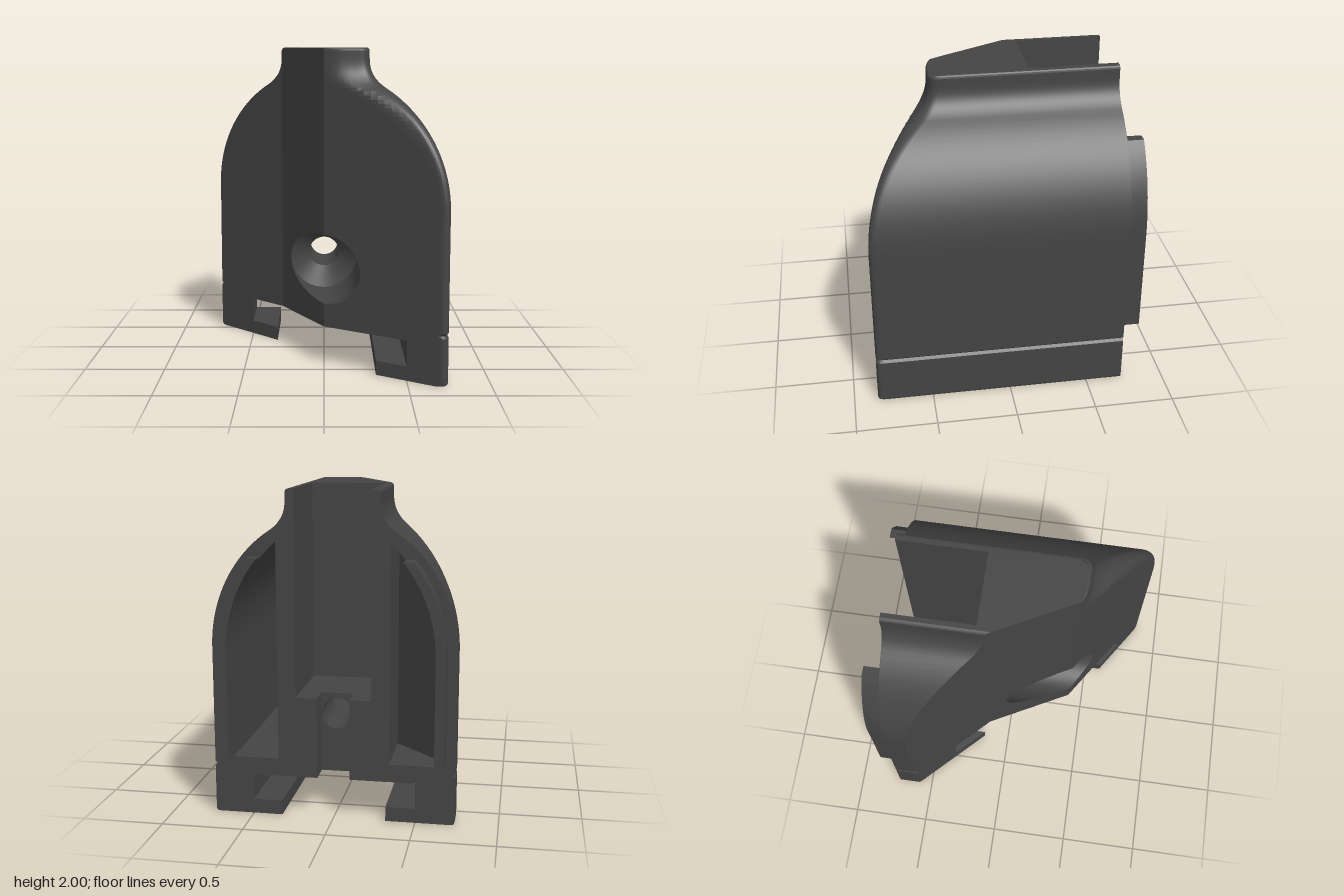
import * as THREE from 'three';
import { toCreasedNormals } from 'three/addons/utils/BufferGeometryUtils.js';

const BACK = -0.73, HOLE_Y = 0.62, SINK = 0.22, BORE = 0.1;
const clamp = THREE.MathUtils.clamp;
const span = (a, b, n) => Array.from({ length: n + 1 }, (_, i) => a + (b - a) * i / n);

// half width of the bell-shaped outline at height y, with groove and rounded ends
function halfWidth(y) {
  let w = 0.74;
  if (y > 1.76) w = 0.28 + 0.09 * Math.pow(clamp((1.96 - y) / 0.2, 0, 1), 3);
  else if (y > 1.05) w = 0.74 * Math.sqrt(1 - ((y - 1.05) / 0.82) ** 2);
  w -= Math.max(0, 0.015 - Math.abs(y - 0.31));
  const d = Math.max(0, 0.02 - Math.min(y, 2 - y));
  return w - 0.02 + Math.sqrt(Math.max(0, 0.0004 - d * d));
}

// depth of the slanted, faceted front
function frontZ(x, y) {
  const w = halfWidth(y);
  if (x < -0.28) return -0.13 + (x + 0.28);
  if (x < 0) return 0.4 + 1.9 * x;
  const plane = 0.4 + 0.65 * x, cap = w + 0.15;
  const h = Math.max(0.05 - Math.abs(plane - cap), 0) / 0.05;
  const e = clamp((x - w + 0.06) / 0.06, 0, 1);
  return Math.min(plane, cap) - h * h * 0.0125 - 0.06 * (1 - Math.sqrt(1 - e * e));
}
const pocketZ = (x, y) => frontZ(x, y) - 0.12;

// surface through rows of [x, y, z] points
function grid(rows) {
  const pos = [], A = new THREE.Vector3(), B = new THREE.Vector3();
  const tri = (a, b, c) => {
    A.set(b[0] - a[0], b[1] - a[1], b[2] - a[2]);
    B.set(c[0] - a[0], c[1] - a[1], c[2] - a[2]);
    if (A.cross(B).length() > 1e-9) pos.push(...a, ...b, ...c);
  };
  for (let j = 0; j + 1 < rows.length; j++) {
    for (let i = 0; i + 1 < rows[j].length; i++) {
      const a = rows[j][i], b = rows[j][i + 1], c = rows[j + 1][i + 1], d = rows[j + 1][i];
      tri(a, b, c);
      tri(a, c, d);
    }
  }
  const g = new THREE.BufferGeometry();
  g.setAttribute('position', new THREE.Float32BufferAttribute(pos, 3));
  return toCreasedNormals(g, 0.25);
}

// sheet following a depth rule, between x limits a(y) and b(y)
function sheet(ys, a, b, zAt = frontZ) {
  return grid(ys.map(y => {
    const w = halfWidth(y), lo = a(y), hi = b(y);
    const edge = span(0, Math.PI / 2, 8).map(t => w - 0.06 + 0.06 * Math.sin(t));
    const knots = [-0.28, ...span(0, 0.72, 18)].map(k => Math.min(k, w - 0.06));
    return [lo, ...knots, ...edge, hi].map(k => clamp(k, lo, hi)).map(x => [x, y, zAt(x, y)]);
  }));
}

// wall swept in z along a path of [x, y] points
const ribbon = (path, z0, zAt = frontZ) => grid([
  path.map(([x, y]) => [x, y, z0]),
  path.map(([x, y]) => [x, y, zAt(x, y)]),
]);

const shapeOf = pts => new THREE.Shape(pts.map(p => new THREE.Vector2(p[0], p[1])));

export function createModel() {
  const model = new THREE.Group();
  const material = new THREE.MeshStandardMaterial({ color: 0x444444, side: THREE.DoubleSide });
  const add = (name, geometry) => {
    const mesh = new THREE.Mesh(geometry, material);
    mesh.name = name;
    model.add(mesh);
    return mesh;
  };
  const w = halfWidth, neg = y => -halfWidth(y);

  // heights shared by the front and the side walls
  const lipYs = [0, 0.003, 0.01, 0.02, 0.09];
  const baseYs = [0.25, 0.295, 0.31, 0.325, HOLE_Y - SINK];
  const holeYs = span(0, Math.PI, 32).map(t => HOLE_Y - SINK * Math.cos(t));
  const upperYs = [HOLE_Y + SINK, ...span(1.05, 1.76, 30), ...span(1.77, 1.98, 18), 1.99, 1.997, 2];
  const allYs = [...lipYs, ...baseYs, ...holeYs.slice(1), ...upperYs.slice(1)];
  const sinkX = y => Math.sqrt(Math.max(0, SINK ** 2 - (y - HOLE_Y) ** 2));

  // front face
  add('frontUpper', sheet(upperYs, neg, w));
  add('frontBesideHoleRight', sheet(holeYs, neg, y => -sinkX(y)));
  add('frontBesideHoleLeft', sheet(holeYs, sinkX, w));
  add('frontBase', sheet(baseYs, neg, w));
  add('slotCheekFrontLeft', sheet([0.09, 0.25], () => 0.5, w));
  add('slotCheekFrontRight', sheet([0.09, 0.25], neg, () => -0.5));
  add('lipFrontLeft', sheet(lipYs, () => 0.32, w));
  add('lipFrontRight', sheet(lipYs, neg, () => -0.32));

  // top of the solid neck in front of the channel
  const nw = w(2);
  add('neckTop', ribbon([-nw, ...span(-0.24, 0, 6), ...span(0.04, nw, 8)].map(x => [x, 2]), -0.18));

  // channel end wall
  add('channelEnd', grid([[[-0.23, 0.75, -0.18], [0.23, 0.75, -0.18]], [[-0.23, 2, -0.18], [0.23, 2, -0.18]]]));
  // channel floor around the notch
  add('channelFloor', ribbon([[-0.23, 0.75], [0.23, 0.75]], -0.58, () => -0.18));
  // slot ceiling in front of the notch
  add('slotCeiling', ribbon([-0.1, 0, 0.1].map(x => [x, 0.25]), -0.58));

  // notch end wall with the bore through it
  const notch = shapeOf([[-0.1, 0.25], [0.1, 0.25], [0.1, 0.75], [-0.1, 0.75]]);
  notch.holes.push(new THREE.Path().absarc(0, HOLE_Y, BORE - 0.003, 0, Math.PI * 2, true));
  add('notchEnd', new THREE.ShapeGeometry(notch, 24)).position.z = -0.58;

  // countersunk screw hole
  const circle = [
    ...holeYs.map(y => [sinkX(y), y]),
    ...holeYs.slice(0, -1).reverse().map(y => [-sinkX(y), y]),
  ];
  add('screwRecess', ribbon(circle, -0.06));
  const bore = add('screwBore', toCreasedNormals(new THREE.LatheGeometry(
    [[BORE, -0.58], [BORE, -0.2], [SINK, -0.06]].map(p => new THREE.Vector2(...p)), 48), 0.4));
  bore.rotation.x = Math.PI / 2;
  bore.position.y = HOLE_Y;

  // mirrored halves
  for (const [side, s] of [['Left', 1], ['Right', -1]]) {
    const flip = pts => pts.map(([x, y]) => [s * x, y]);
    const outline = allYs.map(y => [w(y), y]);

    // outer wall, underside and slot
    add('outerWall' + side, ribbon(flip(outline), BACK));
    add('slotWall' + side, ribbon(flip([
      [w(0), 0], [w(0) - 0.03, 0], [w(0) - 0.06, 0], [0.32, 0], [0.32, 0.09], [0.5, 0.09],
      [0.5, 0.25], [0.28, 0.25], [0.1, 0.25],
    ]), BACK));

    // channel and notch walls
    add('notchWall' + side, ribbon(flip([[0.1, 0.25], [0.1, 0.75], [0.23, 0.75]]), BACK, () => -0.58));
    add('channelWall' + side, ribbon(flip([[0.23, 0.75], [0.23, 2], [nw, 2]]), BACK, () => -0.18));

    // hollow pocket
    const pocketYs = span(0.36, 1.69, 40);
    const inner = y => Math.max(0.34, w(y) - 0.12);
    const pocket = [[0.34, 0.36], ...pocketYs.map(y => [inner(y), y]), [0.34, 1.69]];
    add('pocketWall' + side, ribbon(flip([...pocket, pocket[0]]), BACK, pocketZ));
    add('pocketEnd' + side, s > 0
      ? sheet(pocketYs, () => 0.34, inner, pocketZ)
      : sheet(pocketYs, y => -inner(y), () => -0.34, pocketZ));

    // flat back rim
    const rim = shapeOf(flip([
      [0.1, 0.25], [0.1, 0.75], [0.23, 0.75], [0.23, 2], ...outline.slice().reverse(),
      [0.32, 0], [0.32, 0.09], [0.5, 0.09], [0.5, 0.25],
    ]));
    rim.holes.push(new THREE.Path(flip(pocket).map(p => new THREE.Vector2(...p))));
    add('backRim' + side, new THREE.ShapeGeometry(rim)).position.z = BACK;

    // curved locating rib standing out of the back
    const ribYs = span(0.375, 1.6, 32);
    const rib = shapeOf(flip([
      ...ribYs.map(y => [w(y) - 0.06, y]),
      ...ribYs.slice().reverse().map(y => [w(y) - 0.12, y]),
    ]));
    const ribGeometry = new THREE.ExtrudeGeometry(rib, { depth: 0.115, bevelEnabled: false });
    add('locatingRib' + side, toCreasedNormals(ribGeometry, 0.4)).position.z = -0.845;
  }
  return model;
}
